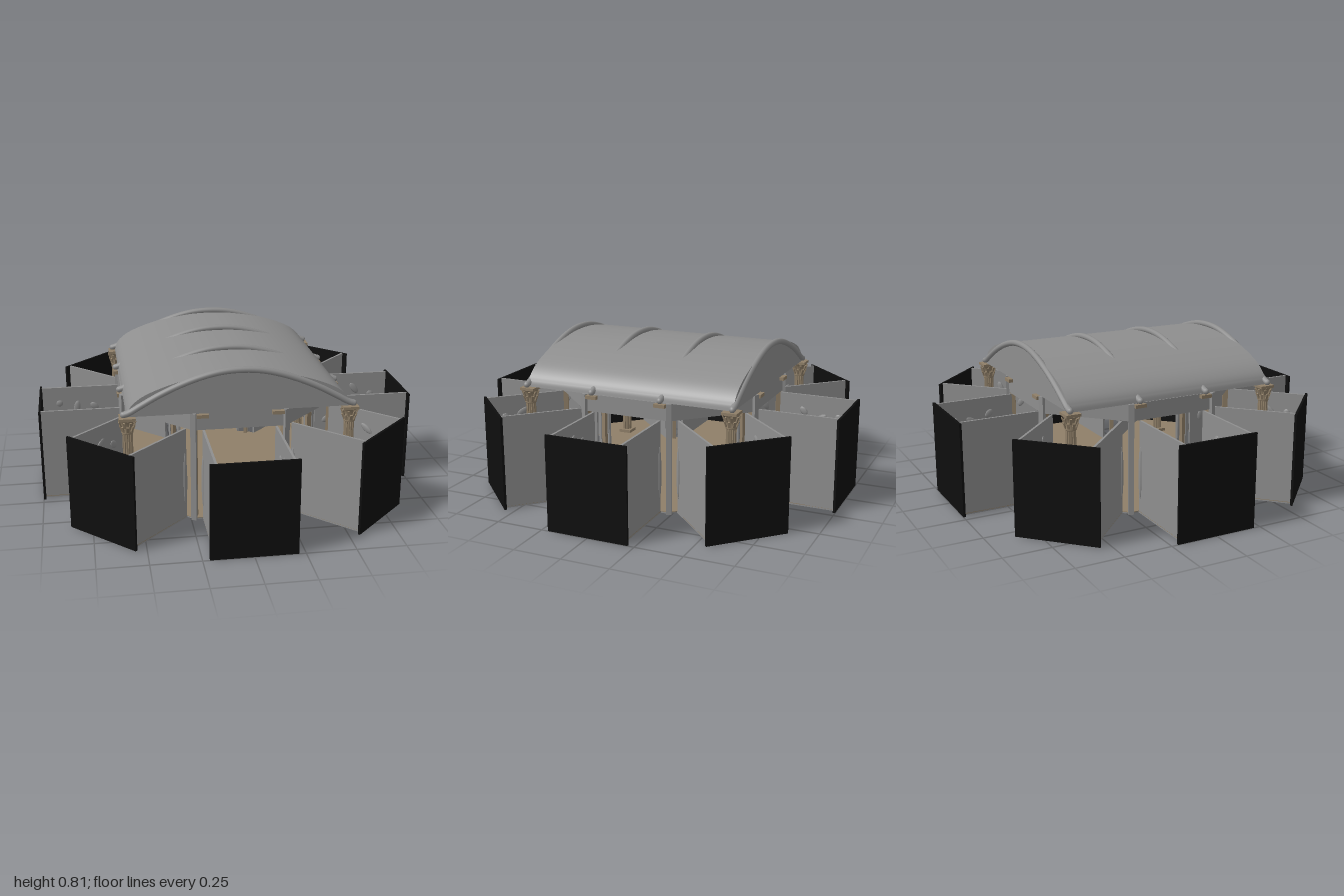
import * as THREE from 'three';
import { toCreasedNormals } from 'three/addons/utils/BufferGeometryUtils.js';

const plaster = new THREE.MeshStandardMaterial({ color: 0x8e8e8e, side: THREE.DoubleSide });
plaster.name = 'grey plaster';
const tan = new THREE.MeshStandardMaterial({ color: 0x8f7f68, side: THREE.DoubleSide });
tan.name = 'tan stone';
const black = new THREE.MeshStandardMaterial({ color: 0x0e0e0e });
black.name = 'black panel';

const HALF = 0.19;       // half width of a booth
const APOTHEM = 0.567;   // octagonal hall, centre to side
const CORNER = 0.235;    // half side of the octagon
const REACH = 0.99;      // booth floor end
const WALL_TOP = 0.49;
const EAVES = 0.58;

function add(parent, name, geometry, material, x = 0, y = 0, z = 0) {
  const mesh = new THREE.Mesh(geometry, material);
  mesh.name = name;
  mesh.position.set(x, y, z);
  parent.add(mesh);
  return mesh;
}
const box = (w, h, d) => new THREE.BoxGeometry(w, h, d);

// Star plan: octagon with a booth floor on every side
function starSlab(depth) {
  const pts = [];
  const local = [[-HALF, APOTHEM], [-HALF, REACH], [HALF, REACH], [HALF, APOTHEM], [CORNER, APOTHEM]];
  for (let i = 0; i < 8; i++) {
    const a = i * Math.PI / 4, c = Math.cos(a), s = Math.sin(a);
    for (const [x, y] of local) pts.push(new THREE.Vector2(x * c + y * s, -x * s + y * c));
  }
  const g = new THREE.ExtrudeGeometry(new THREE.Shape(pts), { depth, bevelEnabled: false });
  return g.rotateX(-Math.PI / 2);
}

// One open-topped booth with its share of the octagonal drum
function makeBooth(index) {
  const booth = new THREE.Group();
  booth.name = 'booth';
  add(booth, 'endPanel', box(0.43, WALL_TOP, 0.012), black, 0, WALL_TOP / 2, 0.994);
  for (const s of [-1, 1]) {
    const length = REACH - 0.57;
    add(booth, 'sideWall', box(0.012, WALL_TOP - 0.008, length), plaster,
      s * (HALF - 0.006), WALL_TOP / 2 + 0.004, 0.57 + length / 2);
    const leaf = add(booth, 'doorOrnament', new THREE.SphereGeometry(1, 10, 8), plaster, s * HALF, 0.22, 0.582);
    leaf.scale.set(0.009, 0.14, 0.014);
    // low carved relief on the inner faces
    for (let k = 0; k < 10; k++) {
      const bump = add(booth, 'wallRelief', new THREE.SphereGeometry(1, 8, 6), plaster,
        s * (HALF - 0.012), 0.2 + 0.09 * (k % 3) + 0.02 * Math.sin(k * 5 + index), 0.64 + 0.032 * k);
      bump.scale.set(0.006, 0.03 + 0.012 * Math.sin(k * 3), 0.018);
      bump.rotation.x = Math.sin(k * 7 + index);
    }
  }
  // lintel above the doorway
  add(booth, 'lintel', box(CORNER * 2, EAVES - WALL_TOP, 0.012), plaster, 0, (EAVES + WALL_TOP) / 2, APOTHEM - 0.006);
  if (index % 2 === 0) {
    for (const s of [-1, 1]) add(booth, 'bracket', box(0.06, 0.018, 0.03), tan, s * 0.19, 0.568, APOTHEM + 0.008);
  }
  booth.rotation.y = index * Math.PI / 4;
  return booth;
}

// Post on an octagon corner, backed by a tan jamb
function makePost(index) {
  const post = new THREE.Group();
  post.name = 'cornerPost';
  add(post, 'post', box(0.028, EAVES, 0.02), plaster, 0, EAVES / 2, 0.614);
  add(post, 'jamb', box(0.02, EAVES - 0.01, 0.03), tan, 0, EAVES / 2, 0.59);
  post.rotation.y = (index + 0.5) * Math.PI / 4;
  return post;
}

// Fluted column with a leafy, flaring capital
function makeColumn(x, z) {
  const column = new THREE.Group();
  column.name = 'column';
  const flutes = new THREE.Shape();
  for (let i = 0; i < 48; i++) {
    const a = i / 48 * Math.PI * 2, r = i % 4 === 0 ? 0.022 : 0.026;
    if (i) flutes.lineTo(r * Math.cos(a), r * Math.sin(a));
    else flutes.moveTo(r, 0);
  }
  const shaft = new THREE.ExtrudeGeometry(flutes, { depth: 0.47, bevelEnabled: false }).rotateX(-Math.PI / 2);
  add(column, 'shaft', shaft, tan, 0, 0.03, 0);
  add(column, 'plinth', box(0.075, 0.02, 0.075), tan, 0, 0.018, 0);
  const bell = [[0.027, 0.495], [0.031, 0.5], [0.027, 0.506], [0.028, 0.535], [0.034, 0.555], [0.042, 0.566]];
  add(column, 'capital', new THREE.LatheGeometry(bell.map(p => new THREE.Vector2(...p)), 20), tan);
  add(column, 'abacus', box(0.08, 0.014, 0.08), tan, 0, 0.573, 0);
  for (let i = 0; i < 16; i++) {
    const upper = i % 2, a = i * Math.PI / 8;
    const leaf = add(column, 'leaf', box(0.011, 0.03, 0.007), tan,
      Math.sin(a) * (0.032 + upper * 0.006), 0.52 + upper * 0.025, Math.cos(a) * (0.032 + upper * 0.006));
    leaf.rotation.set(0.35, a, 0, 'YXZ');
  }
  column.position.set(x, 0, z);
  return column;
}

function mirrored(half) {
  return [...half.slice(1).reverse().map(([x, y]) => [-x, y]), ...half];
}

// Barrel vault with closed gables
function makeRoof() {
  const roof = new THREE.Group();
  roof.name = 'roof';
  const half = [[0, 0.785], [0.1, 0.782], [0.2, 0.769], [0.3, 0.748], [0.4, 0.717], [0.48, 0.682], [0.53, 0.645], [0.555, 0.61], [0.563, EAVES]];
  const curve = new THREE.SplineCurve(mirrored(half).map(p => new THREE.Vector2(...p)));
  const shape = new THREE.Shape(curve.getPoints(64));
  const vault = new THREE.ExtrudeGeometry(shape, { depth: 1.14, bevelEnabled: false }).translate(0, 0, -0.57);
  add(roof, 'vault', toCreasedNormals(vault, 0.6), plaster);

  // Ribs follow a flatter, flared arch and break through the vault near the crown
  const ribHalf = [[0, 0.796], [0.1, 0.789], [0.2, 0.766], [0.3, 0.731], [0.4, 0.686], [0.5, 0.631], [0.55, 0.602], [0.578, 0.593]];
  for (const z of [-0.57, -0.19, 0.19, 0.57]) {
    const path = new THREE.CatmullRomCurve3(mirrored(ribHalf).map(([x, y]) => new THREE.Vector3(x, y, z)));
    add(roof, 'rib', new THREE.TubeGeometry(path, 60, 0.016, 10), plaster);
    for (const s of [-1, 1]) add(roof, 'ribEnd', new THREE.SphereGeometry(0.016, 10, 8), plaster, s * 0.578, 0.593, z);
  }
  return roof;
}

export function createModel() {
  const model = new THREE.Group();
  model.name = 'vaultedHall';
  add(model, 'foundation', starSlab(0.007), plaster);
  add(model, 'floor', starSlab(0.003), tan, 0, 0.007, 0);
  for (let i = 0; i < 8; i++) model.add(makeBooth(i), makePost(i));
  for (const x of [-0.56, 0.56]) for (const z of [-0.56, 0.56]) model.add(makeColumn(x, z));
  model.add(makeRoof());
  return model;
}
